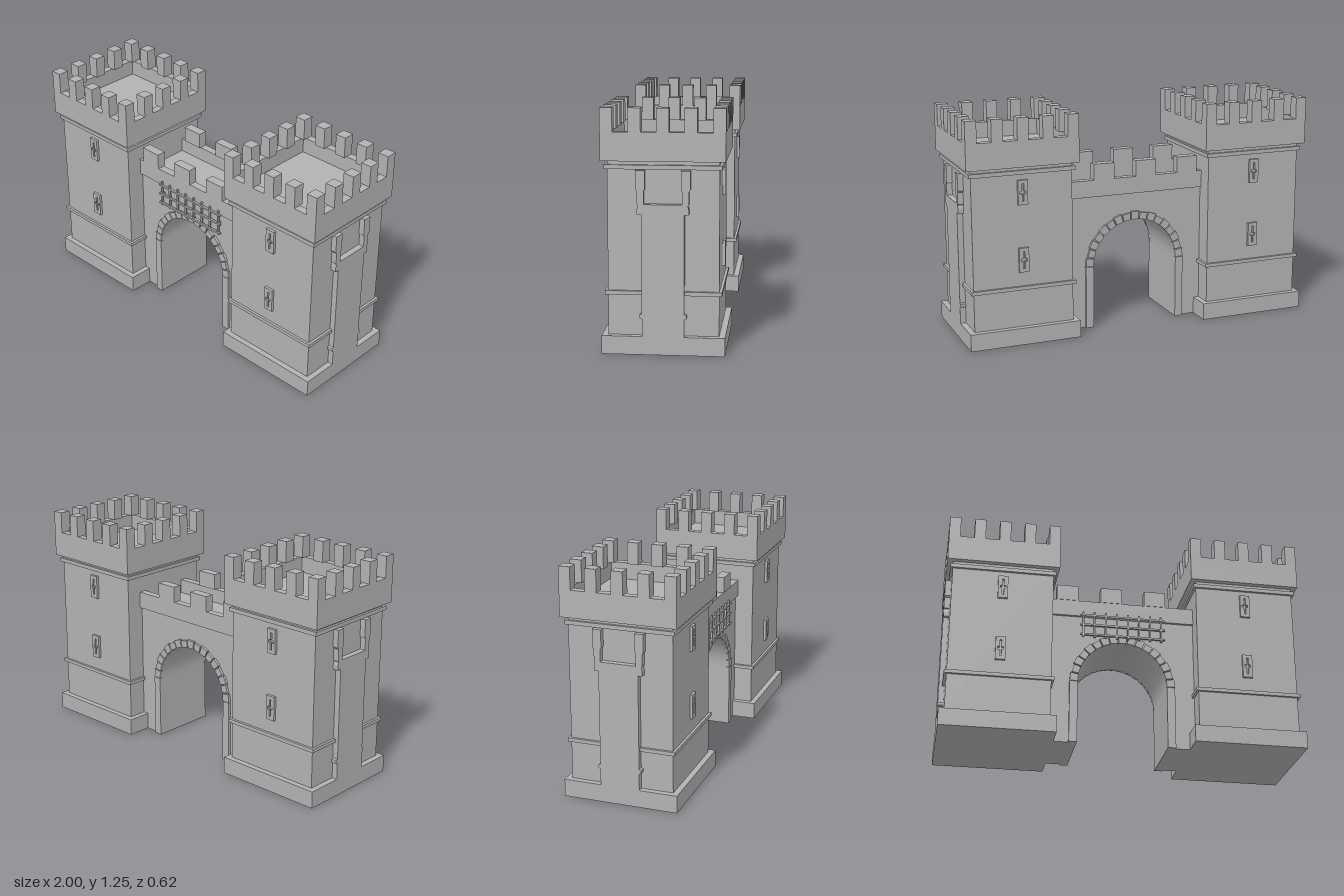
import * as THREE from 'three';

const stone = new THREE.MeshStandardMaterial({ color: 0xb2b2b2 });
stone.name = 'grey stone';

function add(parent, name, geometry, x = 0, y = 0, z = 0) {
  const mesh = new THREE.Mesh(geometry, stone);
  mesh.name = name;
  mesh.position.set(x, y, z);
  parent.add(mesh);
  return mesh;
}

// Box given by its lower and upper limits
function block(parent, name, x0, x1, y0, y1, z0, z1) {
  return add(parent, name, new THREE.BoxGeometry(x1 - x0, y1 - y0, z1 - z0),
    (x0 + x1) / 2, (y0 + y1) / 2, (z0 + z1) / 2);
}

// Square slab centred on the tower axis
function slab(parent, name, half, y0, y1) {
  return block(parent, name, -half, half, y0, y1, -half, half);
}

function polygon(points) {
  return new THREE.Shape(points.map(([x, y]) => new THREE.Vector2(x, y)));
}

function extrude(shape, depth, curveSegments = 16) {
  return new THREE.ExtrudeGeometry(shape, { depth, bevelEnabled: false, curveSegments });
}

// Raised window surround with a cross-shaped slit
function arrowSlit() {
  const w = 0.0275, h = 0.0675;
  const frame = polygon([[-w, -h], [w, -h], [w, h], [-w, h]]);
  const a = 0.005, b = 0.016, c = 0.048, d = 0.008;
  frame.holes.push(polygon([
    [-a, -c], [-a, -d], [-b, -d], [-b, d], [-a, d], [-a, c],
    [a, c], [a, d], [b, d], [b, -d], [a, -d], [a, -c],
  ]));
  return extrude(frame, 0.016);
}

// Cross-section of the wall stub on the outer tower face, mirrored about its middle
function stubGeometry() {
  const side = [
    [0.107, 0.09], [0.107, 0.185], [0.118, 0.19], [0.118, 0.207], [0.107, 0.212],
    [0.107, 0.72], [0.13, 0.72], [0.13, 0.745], [0.125, 0.765], [0.13, 0.77],
    [0.13, 0.835], [0.137, 0.845], [0.137, 0.94], [0.09, 0.94], [0.09, 0.845],
    [0.096, 0.835], [0.096, 0.77],
  ];
  const mirrored = side.map(([z, y]) => [-z, y]).reverse();
  return extrude(polygon([...side, ...mirrored]), 0.04).rotateY(Math.PI / 2);
}

// Tower with its outer side towards +x
function createTower() {
  const tower = new THREE.Group();
  slab(tower, 'towerPlinth', 0.3125, 0, 0.095);
  slab(tower, 'towerBody', 0.281, 0.095, 0.985);
  slab(tower, 'lowerBand', 0.295, 0.305, 0.325);
  slab(tower, 'upperBand', 0.295, 0.943, 0.965);
  slab(tower, 'towerRoof', 0.28, 0.985, 1.04);

  // Parapet ring
  const o = 0.3125, i = 0.27;
  const ring = polygon([[-o, -o], [o, -o], [o, o], [-o, o]]);
  ring.holes.push(polygon([[-i, -i], [-i, i], [i, i], [i, -i]]));
  add(tower, 'towerParapet', extrude(ring, 0.145).rotateX(-Math.PI / 2), 0, 0.985, 0);

  // Five merlons along each side, sharing the corners
  const size = 0.0625, step = (2 * o - size) / 4;
  for (let a = 0; a < 5; a++) {
    for (let b = 0; b < 5; b++) {
      if (a % 4 && b % 4) continue;
      const x = -o + a * step, z = -o + b * step;
      block(tower, 'towerMerlon', x, x + size, 1.13, 1.25, z, z + size);
    }
  }

  // Arrow slits on front and back
  const slit = arrowSlit();
  for (const y of [0.4725, 0.845]) {
    add(tower, 'arrowSlit', slit, 0, y, 0.28);
    add(tower, 'arrowSlit', slit, 0, y, -0.28).rotation.y = Math.PI;
  }

  add(tower, 'wallStub', stubGeometry(), 0.2725, 0, 0);
  return tower;
}

function createGate() {
  const gate = new THREE.Group();
  gate.name = 'gatehouse';
  const r = 0.25, outer = 0.295, spring = 0.355, face = 0.175, front = 0.19;

  // Wall with an arched passage
  const wall = new THREE.Shape();
  wall.moveTo(r, 0);
  wall.lineTo(0.41, 0);
  wall.lineTo(0.41, 0.77);
  wall.lineTo(-0.41, 0.77);
  wall.lineTo(-0.41, 0);
  wall.lineTo(-r, 0);
  wall.lineTo(-r, spring);
  wall.absarc(0, spring, r, Math.PI, 0, true);
  wall.lineTo(r, 0);
  add(gate, 'gateWall', extrude(wall, 2 * face, 18), 0, 0, -face);

  for (const s of [-1, 1]) {
    const span = (a, b) => [Math.min(s * a, s * b), Math.max(s * a, s * b)];
    // Walkway parapet and its merlons
    block(gate, 'gateParapet', -0.41, 0.41, 0.755, 0.85, ...span(0.147, front));
    for (const x of [-0.375, -0.125, 0.125]) {
      block(gate, 'gateMerlon', x, x + 0.122, 0.85, 0.94, ...span(0.14, front + 0.003));
    }
    // Arch jambs
    for (const [x0, x1] of [[-outer, -r], [r, outer]]) {
      block(gate, 'archJamb', x0, x1, 0, spring, ...span(face, front));
    }
    // Arch stones
    const count = 17, arc = Math.PI / count, gap = 0.012;
    for (let k = 0; k < count; k++) {
      const a0 = k * arc + gap, a1 = (k + 1) * arc - gap;
      const at = (radius, a) => [radius * Math.cos(a), radius * Math.sin(a)];
      const rim = outer - (k % 2) * 0.006;
      const piece = polygon([at(r, a0), at(rim, a0), at(rim, a1), at(r, a1)]);
      add(gate, 'archStone', extrude(piece, front - face), 0, spring, s > 0 ? face : -front);
    }
  }

  // Raised iron grating above the front of the arch
  const grating = new THREE.Group();
  grating.name = 'portcullis';
  for (let k = 0; k < 8; k++) {
    const x = -0.223 + k * 0.0632;
    block(grating, 'uprightBar', x - 0.005, x + 0.005, 0.625, 0.78, 0.19, 0.2);
  }
  for (const y of [0.64, 0.699, 0.757]) {
    block(grating, 'crossBar', -0.24, 0.24, y - 0.005, y + 0.005, 0.192, 0.204);
  }
  gate.add(grating);
  // Fixings that hold the grating to the wall
  for (const x of [-0.223, 0.219]) {
    block(grating, 'gratingBracket', x - 0.004, x + 0.004, 0.695, 0.703, 0.17, 0.195);
  }
  return gate;
}

export function createModel() {
  const model = new THREE.Group();
  model.name = 'castleGate';

  const left = createTower();
  left.name = 'leftTower';
  left.position.x = 0.6875;

  const right = createTower();
  right.name = 'rightTower';
  right.position.x = -0.6875;
  right.rotation.y = Math.PI;

  model.add(left, right, createGate());
  return model;
}
